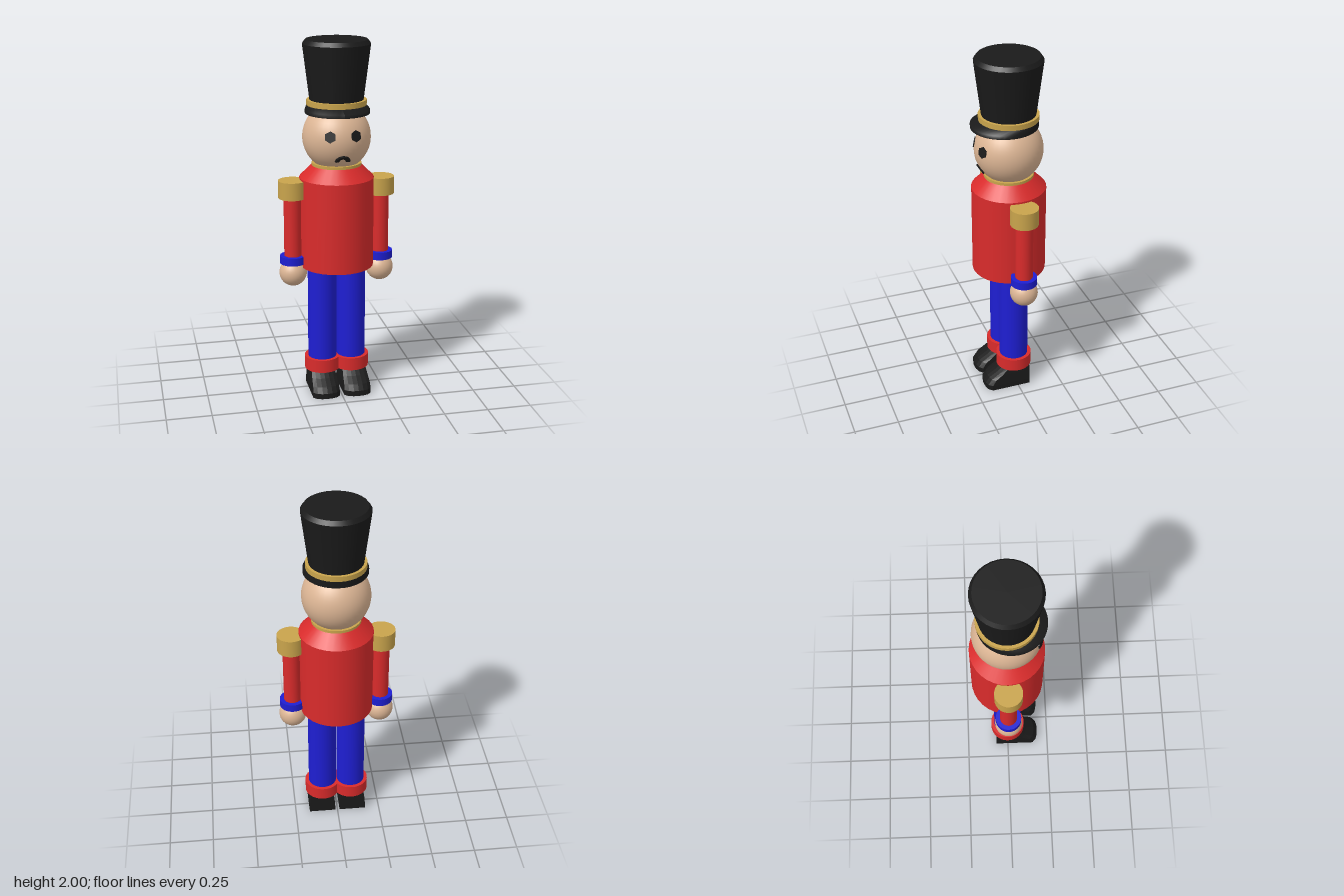
import * as THREE from 'three';

const mat = (color, flatShading = false) =>
  new THREE.MeshStandardMaterial({ color, flatShading, side: THREE.DoubleSide });

export function createModel() {
  const model = new THREE.Group();
  const red = mat(0xd92b2b), blue = mat(0x1e1ed2), gold = mat(0xc9a44c);
  const skin = mat(0xdcb594), black = mat(0x1a1a1a), blackFlat = mat(0x1a1a1a, true);

  const add = (name, geometry, material, x = 0, y = 0, z = 0) => {
    const mesh = new THREE.Mesh(geometry, material);
    mesh.name = name;
    mesh.position.set(x, y, z);
    model.add(mesh);
    return mesh;
  };
  // Upright drum or cone between two heights
  const drum = (name, material, y0, y1, r0, r1 = r0, x = 0, open = false) =>
    add(name, new THREE.CylinderGeometry(r1, r0, y1 - y0, 32, 1, open), material, x, (y0 + y1) / 2);

  // Coat and collar
  drum('coat', red, 0.745, 1.25, 0.205);
  drum('shoulders', red, 1.25, 1.318, 0.205, 0.137);
  drum('collar', gold, 1.315, 1.333, 0.137);

  // Head, with face parts laid on its surface
  const centre = new THREE.Vector3(0, 1.475, 0), headRadius = 0.187;
  add('head', new THREE.SphereGeometry(headRadius, 40, 28), skin, 0, centre.y, 0);
  const onFace = (name, geometry, x, y, lift) => {
    const dy = y - centre.y;
    const out = new THREE.Vector3(x, dy, Math.sqrt(headRadius ** 2 - x * x - dy * dy)).normalize();
    const mesh = add(name, geometry, blackFlat);
    mesh.position.copy(centre).addScaledVector(out, headRadius + lift);
    mesh.lookAt(mesh.position.clone().add(out));
  };
  for (const s of [-1, 1]) {
    onFace(s > 0 ? 'leftEye' : 'rightEye',
      new THREE.CylinderGeometry(0.032, 0.032, 0.012, 6).rotateX(Math.PI / 2), s * 0.07, 1.507, -0.003);
  }
  onFace('moustache', new THREE.TorusGeometry(0.03, 0.014, 6, 6, Math.PI).scale(1, 1, 0.5), 0, 1.368, -0.001);

  // Hat: brim reaching forward, band, flared crown with bevelled top
  const brim = new THREE.CylinderGeometry(0.15, 0.183, 0.04, 40, 2);
  const bp = brim.attributes.position;
  for (let i = 0; i < bp.count; i++) {
    const y = bp.getY(i), isTop = y > 0.01, r = Math.hypot(bp.getX(i), bp.getZ(i));
    const grow = !isTop && r > 0.001 ? 0.183 / r : 1;
    bp.setXYZ(i, bp.getX(i) * grow * (isTop ? 1.08 : 0.96), y,
      bp.getZ(i) * grow + (isTop ? -0.01 : 0.024));
  }
  brim.computeVertexNormals();
  add('hatBrim', brim, black, 0, 1.63, 0);
  drum('hatBand', gold, 1.65, 1.679, 0.163);
  drum('hatCrown', black, 1.65, 1.978, 0.143, 0.184, 0, true);
  drum('hatTop', black, 1.978, 2, 0.184, 0.168);

  // Shoe: a box shaped into a sloping, rounded toe
  const shoeGeometry = () => {
    const geo = new THREE.BoxGeometry(2, 1, 1, 4, 4, 3);
    const p = geo.attributes.position;
    const front = [0.187, 0.187, 0.165, 0.115, 0.075];
    for (let i = 0; i < p.count; i++) {
      const u = p.getX(i), t = p.getY(i) + 0.5, w = p.getZ(i) + 0.5;
      const toe = front[Math.round(t * 4)];
      const half = (0.077 - 0.01 * t * t) * (w > 0.9 ? 0.72 : 1);
      const along = [0, 0.45, 0.88, 1][Math.round(w * 3)];
      const corner = w > 0.9 ? 0.01 * u * u : 0;
      p.setXYZ(i, u * half, t * 0.124, -0.072 + along * (toe + 0.072) - corner);
    }
    geo.computeVertexNormals();
    return geo;
  };

  // Arms and legs, mirrored
  for (const s of [-1, 1]) {
    const side = s > 0 ? 'left' : 'right', armX = s * 0.248, legX = s * 0.083;
    drum(side + 'Epaulette', gold, 1.142, 1.24, 0.077, 0.077, armX);
    drum(side + 'Arm', red, 0.79, 1.16, 0.048, 0.048, armX);
    drum(side + 'Cuff', blue, 0.766, 0.81, 0.072, 0.072, armX);
    add(side + 'Hand', new THREE.SphereGeometry(0.077, 28, 20), skin, armX, 0.71, 0);
    drum(side + 'Leg', blue, 0.15, 0.76, 0.081, 0.081, legX);
    drum(side + 'BootCuff', red, 0.122, 0.196, 0.101, 0.101, legX);
    add(side + 'Shoe', shoeGeometry(), blackFlat, s * 0.09, 0, 0);
  }
  return model;
}
